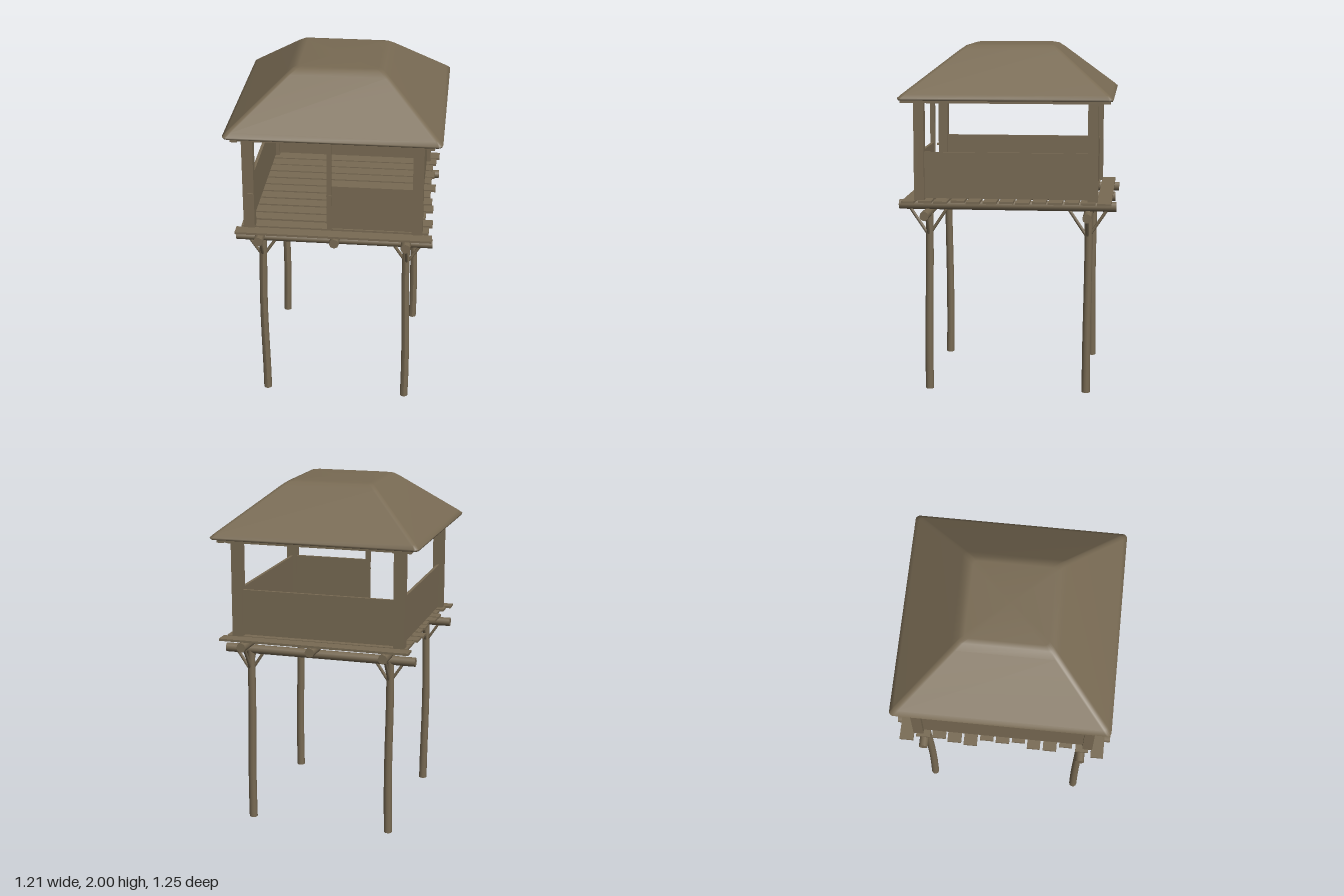
import * as THREE from 'three';

const wood = new THREE.MeshStandardMaterial({ color: 0x786a53, side: THREE.DoubleSide });
wood.name = 'weathered wood';

export function createModel() {
  const model = new THREE.Group();
  model.name = 'watchtower';

  let seed = 7;
  const rand = () => (seed = (seed * 16807) % 2147483647) / 2147483647;

  const add = (geometry, name) => {
    const mesh = new THREE.Mesh(geometry, wood);
    mesh.name = name;
    model.add(mesh);
    return mesh;
  };
  // Box given by its limits on each axis
  const box = (name, x0, x1, y0, y1, z0, z1) => {
    const mesh = add(new THREE.BoxGeometry(x1 - x0, y1 - y0, z1 - z0), name);
    mesh.position.set((x0 + x1) / 2, (y0 + y1) / 2, (z0 + z1) / 2);
    return mesh;
  };
  // Round log between two points
  const log = (name, a, b, radius, sides = 8) => {
    const from = new THREE.Vector3(...a), to = new THREE.Vector3(...b);
    const dir = to.clone().sub(from);
    const mesh = add(new THREE.CylinderGeometry(radius, radius, dir.length(), sides), name);
    mesh.position.copy(from).add(to).multiplyScalar(0.5);
    mesh.quaternion.setFromUnitVectors(new THREE.Vector3(0, 1, 0), dir.normalize());
    return mesh;
  };

  // Slightly crooked legs with four braces each
  for (const x of [-0.415, 0.415]) {
    for (const z of [-0.46, 0.455]) {
      const geometry = new THREE.CylinderGeometry(0.022, 0.024, 1.04, 10, 8);
      geometry.translate(0, 0.52, 0);
      const p = geometry.attributes.position;
      const phase = rand() * 2;
      for (let i = 0; i < p.count; i++) {
        const y = p.getY(i);
        p.setX(i, p.getX(i) + 0.005 * Math.sin(y * 5 + phase));
        p.setZ(i, p.getZ(i) + 0.004 * Math.sin(y * 4 + phase * 2));
      }
      geometry.computeVertexNormals();
      add(geometry, 'leg').position.set(x, 0, z);
      for (const s of [-1, 1]) {
        log('sideBrace', [x + s * 0.01, 0.925, z], [x + s * 0.08, 1.03, z], 0.009, 6);
        log('depthBrace', [x, 0.925, z + s * 0.01], [x, 1.075, z + s * 0.11], 0.009, 6);
      }
    }
  }

  // Cross beams and floor joists
  for (const z of [-0.46, 0.46]) log('crossBeam', [-0.565, 1.043, z], [0.56, 1.043, z], 0.026, 10);
  for (const x of [-0.415, 0.415]) log('joist', [x, 1.09, -0.622], [x, 1.09, 0.625], 0.028);
  log('middleJoist', [0.012, 1.09, -0.608], [0.012, 1.09, 0.606], 0.028);

  // Floor planks of uneven length
  const planks = 13;
  for (let i = 0; i < planks; i++) {
    const z = -0.555 + i * 0.0925;
    const edge = i === 0 || i === planks - 1;
    const a = edge ? 0 : rand() * 0.05, b = edge ? 0 : rand() * 0.05;
    const w = 0.036 + rand() * 0.006;
    box('floorPlank', -0.553 + a, 0.558 - b, 1.115, 1.128, z - w, z + w)
      .rotation.y = edge ? 0 : (rand() - 0.5) * 0.012;
  }

  // Corner posts
  for (const [x0, x1] of [[-0.51, -0.447], [0.443, 0.503]]) {
    for (const [z0, z1] of [[-0.518, -0.46], [0.468, 0.525]]) {
      box('cornerPost', x0, x1, 1.125, 1.69, z0, z1);
    }
  }

  // Parapet walls, with the entrance on the front left open
  box('backWall', -0.45, 0.445, 1.137, 1.4, -0.497, -0.48);
  box('rightWall', -0.487, -0.47, 1.137, 1.4, -0.462, 0.47);
  box('leftWall', 0.465, 0.482, 1.137, 1.4, -0.462, 0.47);
  box('frontWall', -0.015, 0.445, 1.137, 1.4, 0.488, 0.505);
  box('entrancePost', -0.038, -0.012, 1.125, 1.69, 0.482, 0.51);

  // Entrance pegs
  box('cornerPeg', -0.482, -0.45, 1.333, 1.345, 0.52, 0.537);
  box('entrancePeg', -0.04, -0.01, 1.336, 1.346, 0.505, 0.514);

  // Roof frame
  for (const z of [-0.56, -0.49, -0.2, 0.1, 0.35, 0.495, 0.56]) {
    box('roofBatten', -0.56, 0.56, 1.685, 1.7, z - 0.022, z + 0.022);
  }
  for (const x of [-0.54, -0.475, 0.475, 0.54]) {
    box('roofPlate', x - 0.02, x + 0.02, 1.683, 1.698, -0.585, 0.59);
  }

  // Roof shell: rounded squares stacked as [half size, height]
  const rings = [[0.575, 1.698], [0.598, 1.7], [0.603, 1.712], [0.58, 1.733],
    [0.29, 1.968], [0.255, 1.993], [0.225, 2], [0.001, 2]];
  const arc = 4, count = 4 * (arc + 1);
  const points = [], faces = [];
  rings.forEach(([half, y], r) => {
    const radius = Math.min(0.025, half);
    for (let c = 0; c < 4; c++) {
      const mid = Math.PI / 4 + c * Math.PI / 2;
      for (let k = 0; k <= arc; k++) {
        const t = (c + k / arc) * Math.PI / 2;
        points.push(Math.sign(Math.cos(mid)) * (half - radius) + radius * Math.cos(t), y,
          Math.sign(Math.sin(mid)) * (half - radius) + radius * Math.sin(t));
      }
    }
    if (r === 0) return;
    for (let i = 0; i < count; i++) {
      const j = (i + 1) % count, lo = (r - 1) * count, hi = r * count;
      faces.push(lo + i, hi + i, lo + j, lo + j, hi + i, hi + j);
    }
  });
  const roof = new THREE.BufferGeometry();
  roof.setAttribute('position', new THREE.Float32BufferAttribute(points, 3));
  roof.setIndex(faces);
  roof.computeVertexNormals();
  add(roof, 'roof');

  return model;
}
